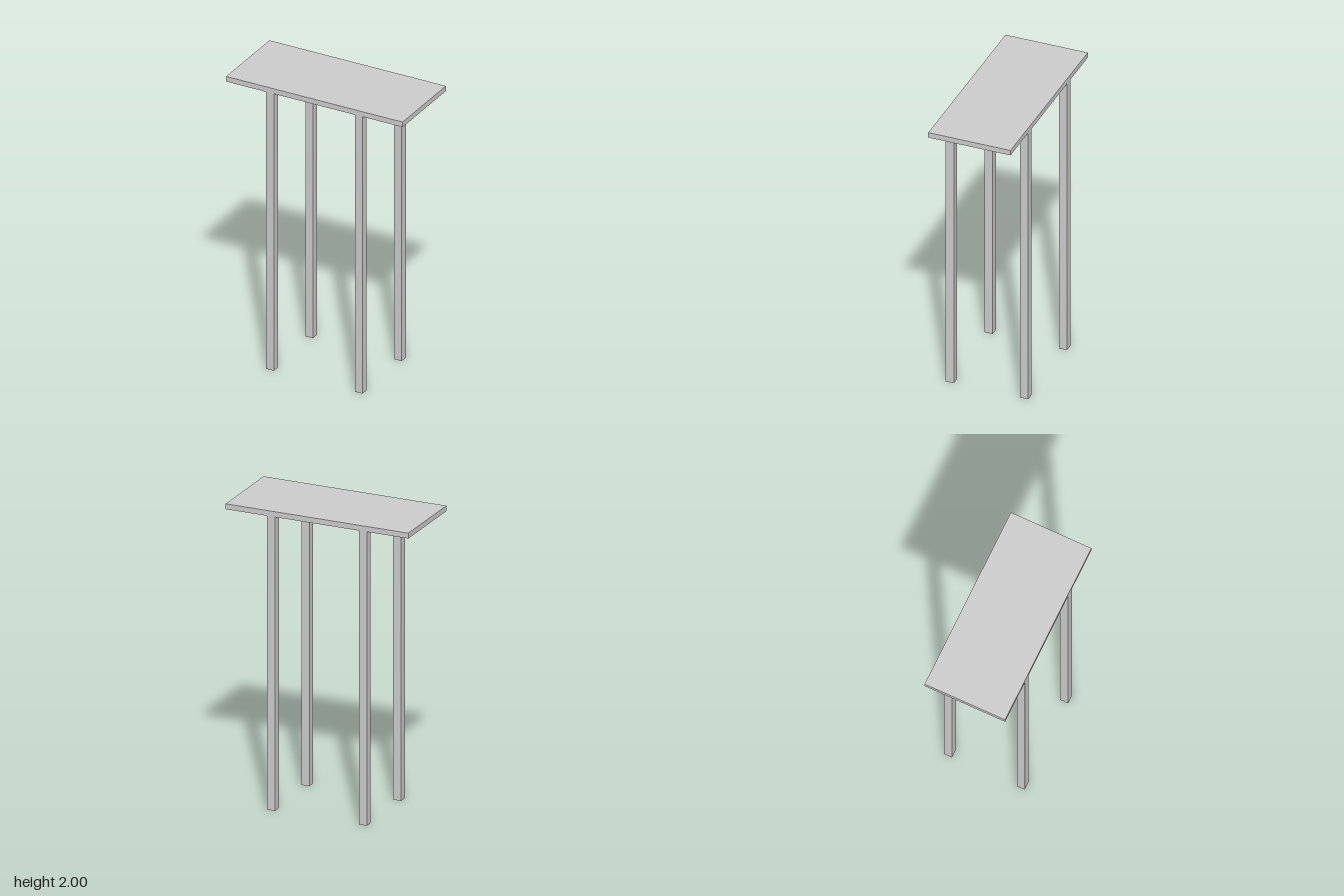
import * as THREE from 'three';

const material = new THREE.MeshStandardMaterial({ color: 0xcccccc, flatShading: true, side: THREE.DoubleSide });

// Box shell without a bottom face, standing on y = bottom
function openBox(name, width, height, depth, x, bottom, z) {
  const geometry = new THREE.BoxGeometry(width, height, depth);
  const index = Array.from(geometry.index.array);
  index.splice(18, 6); // the fourth side of a box is its underside
  geometry.setIndex(index);
  geometry.clearGroups();
  const mesh = new THREE.Mesh(geometry, material);
  mesh.name = name;
  mesh.position.set(x, bottom + height / 2, z);
  return mesh;
}

export function createModel() {
  const group = new THREE.Group();
  group.name = 'tallTable';

  const topThickness = 0.036;
  const legHeight = 2 - topThickness;
  const legWidth = 0.055;
  const topDepth = 0.56;

  // Hollow table top, open underneath
  group.add(openBox('tableTop', 1.27, topThickness, topDepth, 0, legHeight, 0));

  // Four square legs, flush with the front and back edges
  const legZ = (topDepth - legWidth) / 2;
  for (const [side, sx] of [['Left', 1], ['Right', -1]]) {
    for (const [end, sz] of [['front', 1], ['back', -1]]) {
      group.add(openBox(`${end}${side}Leg`, legWidth, legHeight, legWidth, sx * 0.319, 0, sz * legZ));
    }
  }
  return group;
}
